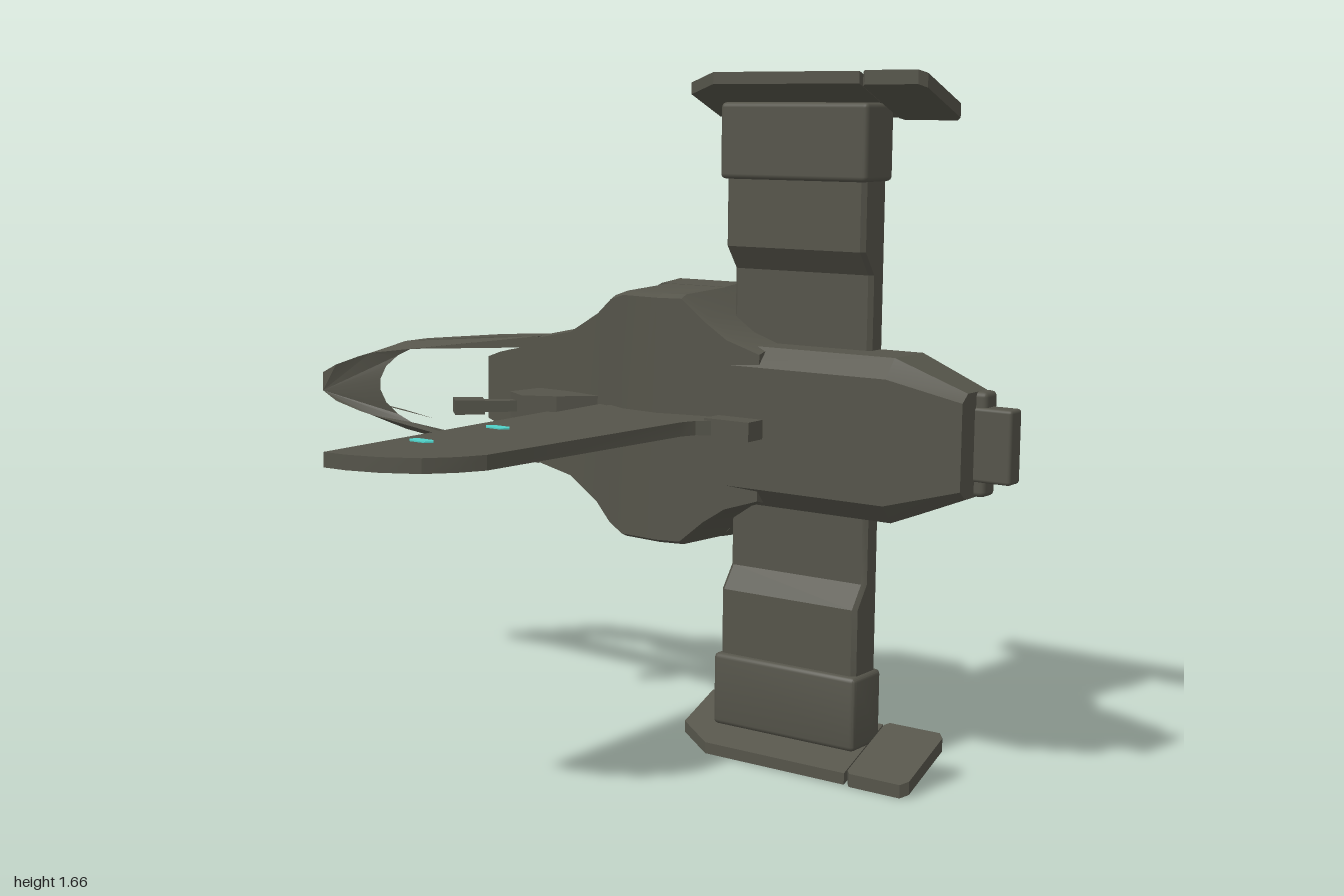
import * as THREE from 'three';
import { toCreasedNormals } from 'three/addons/utils/BufferGeometryUtils.js';
import { RoundedBoxGeometry } from 'three/addons/geometries/RoundedBoxGeometry.js';

const CY = 0.83; // height of the ship's centre line

// Turns triangles outward (also after mirroring) and gives them creased normals
function solid(source, crease = 0.5) {
  const geo = source.index ? source.toNonIndexed() : source;
  const p = geo.attributes.position;
  const a = new THREE.Vector3(), b = new THREE.Vector3(), c = new THREE.Vector3();
  let volume = 0;
  for (let i = 0; i < p.count; i += 3) {
    a.fromBufferAttribute(p, i); b.fromBufferAttribute(p, i + 1); c.fromBufferAttribute(p, i + 2);
    volume += a.dot(b.cross(c));
  }
  if (volume < 0) {
    for (let i = 0; i < p.count; i += 3) {
      b.fromBufferAttribute(p, i + 1); c.fromBufferAttribute(p, i + 2);
      p.setXYZ(i + 1, c.x, c.y, c.z); p.setXYZ(i + 2, b.x, b.y, b.z);
    }
  }
  const out = new THREE.BufferGeometry();
  out.setAttribute('position', p);
  return toCreasedNormals(out, crease);
}

// Closed skin through loops of [x, y, z] points
function loft(loops, crease) {
  const v = [], n = loops[0].length;
  for (let s = 0; s < loops.length - 1; s++) {
    for (let i = 0; i < n; i++) {
      const j = (i + 1) % n, A = loops[s], B = loops[s + 1];
      v.push(...A[i], ...B[i], ...B[j], ...A[i], ...B[j], ...A[j]);
    }
  }
  const first = loops[0], last = loops[loops.length - 1];
  for (let i = 1; i < n - 1; i++) {
    v.push(...first[0], ...first[i], ...first[i + 1], ...last[0], ...last[i + 1], ...last[i]);
  }
  const geo = new THREE.BufferGeometry();
  geo.setAttribute('position', new THREE.Float32BufferAttribute(v, 3));
  return solid(geo, crease);
}

// Symmetric hull section at x from [half width, z] pairs, front to back
function section(x, half) {
  return [...half.map(([w, z]) => [x, w, z]), ...half.map(([w, z]) => [x, -w, z]).reverse()];
}

// Flat plate drawn in x-z, thick in y, with an optional shear of y over z
function plate(points, y0, y1, shear = 0, pivot = 0) {
  const shape = new THREE.Shape(points.map(([x, z]) => new THREE.Vector2(x, z)));
  const geo = new THREE.ExtrudeGeometry(shape, { depth: y1 - y0, bevelEnabled: false });
  const p = geo.attributes.position;
  for (let i = 0; i < p.count; i++) {
    const z = p.getY(i);
    p.setXYZ(i, p.getX(i), y0 + p.getZ(i) + (z - pivot) * shear, z);
  }
  return solid(geo, 0.3);
}

function box(x0, x1, y0, y1, z0, z1, radius = 0) {
  const size = [x1 - x0, y1 - y0, z1 - z0];
  const geo = radius ? new RoundedBoxGeometry(...size, 2, radius) : new THREE.BoxGeometry(...size);
  return geo.translate((x0 + x1) / 2, (y0 + y1) / 2, (z0 + z1) / 2);
}

// Open nose frame, with its tip bent forward
function noseFrame() {
  const outer = [[-1, 0.025], [-0.95, 0.05], [-0.89, 0.075], [-0.86, 0.085], [-0.77, 0.12], [-0.5, 0.15], [-0.31, 0.165]];
  const inner = [[-0.835, 0.015], [-0.82, 0.05], [-0.79, 0.08], [-0.75, 0.1], [-0.325, 0.135]];
  const ring = (pts) => [...pts, ...pts.map(([x, y]) => [x, -y]).reverse()].map(([x, y]) => new THREE.Vector2(x, y));
  const shape = new THREE.Shape(ring(outer));
  shape.holes.push(new THREE.Path(ring(inner)));
  const geo = new THREE.ExtrudeGeometry(shape, { depth: 1, bevelEnabled: false });
  const p = geo.attributes.position;
  for (let i = 0; i < p.count; i++) {
    const x = p.getX(i);
    const front = Math.min(-0.295, -0.38 + Math.max(0, -0.77 - x) * 0.47);
    let back = -0.47;
    if (x < -0.86) back += Math.min(1, (-0.86 - x) / 0.03) * 0.08;
    if (x < -0.89) back += (-0.89 - x) * 0.8;
    p.setZ(i, p.getZ(i) > 0.5 ? front : back);
  }
  return solid(geo, 0.3);
}

export function createModel() {
  const model = new THREE.Group();
  const hullPaint = new THREE.MeshStandardMaterial({ color: 0x55544a });
  const lightPaint = new THREE.MeshStandardMaterial({ color: 0x4fd0c8 });
  const ship = new THREE.Group();
  ship.name = 'ship';
  ship.position.y = CY;
  model.add(ship);
  const add = (name, geo, mat = hullPaint) => {
    const mesh = new THREE.Mesh(geo, mat);
    mesh.name = name;
    ship.add(mesh);
  };
  const addPair = (name, geo, mat) => {
    add(name + 'Upper', geo, mat);
    add(name + 'Lower', solid(geo.clone().scale(1, -1, 1)), mat);
  };

  add('noseFrame', noseFrame());

  // Rounded back shell: x, half width, shoulder z, shoulder half width, back z
  const shell = [
    [-0.57, 0.085, -0.51, 0.07, -0.53], [-0.53, 0.1, -0.52, 0.085, -0.555],
    [-0.4, 0.13, -0.535, 0.1, -0.588], [-0.25, 0.165, -0.55, 0.115, -0.602],
    [-0.15, 0.22, -0.56, 0.13, -0.608], [-0.08, 0.27, -0.565, 0.145, -0.61],
    [0, 0.318, -0.57, 0.16, -0.612], [0.19, 0.318, -0.57, 0.17, -0.615],
    [0.27, 0.24, -0.575, 0.16, -0.615], [0.38, 0.185, -0.59, 0.15, -0.615],
    [0.5, 0.165, -0.6, 0.14, -0.615], [0.65, 0.165, -0.6, 0.14, -0.615], [0.7, 0.13, -0.59, 0.11, -0.605],
  ];
  add('backShell', loft(shell.map(([x, w, zs, w2, zb]) =>
    section(x, [[w * 0.98, -0.49], [w, zs], [(w + w2) / 2, zs * 0.4 + zb * 0.6], [w2 * 0.8, zb]])), 0.6));

  // Flared front hull: x, half width, front z
  const hull = [
    [-0.325, 0.163, -0.38], [-0.2, 0.19, -0.375], [-0.1, 0.245, -0.355], [-0.04, 0.288, -0.33],
    [0.02, 0.305, -0.3], [0.13, 0.305, -0.29], [0.19, 0.305, -0.305], [0.25, 0.25, -0.318],
    [0.31, 0.21, -0.32], [0.4, 0.18, -0.325],
  ];
  add('frontHull', loft(hull.map(([x, w, z]) =>
    section(x, [[w * 0.97, z], [w, z - 0.02], [w * 1.02, -0.5]])), 0.4));

  // Tail block, collar and nozzle
  add('tailBlock', loft([
    section(0.25, [[0.145, -0.32], [0.19, -0.36], [0.19, -0.49], [0.17, -0.505]]),
    section(0.74, [[0.145, -0.32], [0.19, -0.36], [0.19, -0.49], [0.17, -0.505]]),
    section(0.91, [[0.1, -0.365], [0.12, -0.39], [0.12, -0.48], [0.1, -0.485]]),
  ], 0.2));
  add('tailCollar', box(0.8, 0.935, -0.12, 0.12, -0.487, -0.43, 0.012));
  add('nozzle', box(0.9, 1, -0.085, 0.085, -0.477, -0.425, 0.008));

  // Spine along the back with a rounded end
  add('spine', loft([
    section(-0.06, [[0.045, -0.59], [0.04, -0.61]]),
    section(0.08, [[0.095, -0.59], [0.085, -0.632]]),
    section(0.65, [[0.095, -0.59], [0.085, -0.632]]),
  ], 0.2));
  add('spineEnd', box(0.62, 0.715, -0.1, 0.1, -0.618, -0.5, 0.03));

  // Wings: distance from centre line, front z, back z
  const wing = [[0.1, -0.44, -0.5], [0.365, -0.44, -0.5], [0.42, -0.4, -0.5], [0.6, -0.4, -0.5]];
  addPair('wing', loft(wing.map(([y, zf, zb]) => [
    [0.25, y, zf - 0.01], [0.26, y, zf], [0.62, y, zf], [0.63, y, zf - 0.01],
    [0.63, y, zb + 0.01], [0.62, y, zb], [0.26, y, zb], [0.25, y, zb + 0.01]]), 0.2));
  addPair('wingSleeve', box(0.24, 0.64, 0.58, 0.76, -0.51, -0.385, 0.012));

  // Canted plates at the wing ends
  addPair('endPlate', plate([[0.14, -0.535], [0.635, -0.535], [0.635, -0.355], [0.24, -0.355], [0.14, -0.41]],
    0.8, 0.828, 0.43, -0.36));
  addPair('endPlateTail', plate([[0.64, -0.53], [0.65, -0.54], [0.785, -0.54], [0.8, -0.525], [0.8, -0.37],
    [0.785, -0.353], [0.65, -0.353], [0.64, -0.363]], 0.797, 0.829, 0.43, -0.36));

  // Long thin fin with its root fairing
  add('fin', plate([[-0.09, -0.14], [-0.09, 0.63], [-0.03, 0.627], [0.05, 0.605], [0.13, 0.56], [0.18, 0.5],
    [0.21, 0.44], [0.265, -0.2], [0.28, -0.24], [0.31, -0.26], [0.31, -0.35], [-0.04, -0.4], [-0.04, -0.15]],
    -0.017, 0.017));
  add('finRoot', box(-0.085, -0.035, -0.013, 0.013, -0.4, -0.13));
  add('finSpur', box(0.29, 0.415, -0.023, 0.023, -0.33, -0.26));

  // Gun on a wedge mount
  add('gunMount', plate([[-0.3, -0.4], [-0.32, -0.28], [-0.25, -0.24], [-0.17, -0.28], [-0.09, -0.36], [-0.09, -0.4]],
    -0.032, 0.032));
  const along = (t, o) => [-0.27 - 0.135 * t + 0.72 * o, -0.29 + 0.13 * t + 0.7 * o];
  const bar = (t0, t1, r) => [along(t0, -r), along(t1, -r), along(t1, r), along(t0, r)];
  add('gunBarrel', plate(bar(0, 0.8, 0.017), -0.014, 0.014));
  add('gunMuzzle', plate(bar(0.6, 1, 0.032), -0.018, 0.018));

  // Lights on the fin, the shell sides and the shell back
  for (const z of [0.135, 0.39]) {
    const x = z < 0.2 ? -0.015 : -0.022;
    addPair('finLight', plate([[x - 0.035, z], [x - 0.022, z - 0.016], [x + 0.022, z - 0.016], [x + 0.035, z],
      [x + 0.022, z + 0.016], [x - 0.022, z + 0.016]], 0.014, 0.02), lightPaint);
  }
  for (const x of [0.522, 0.577]) {
    addPair('shellLight', plate([[x - 0.02, -0.585], [x - 0.01, -0.6], [x + 0.01, -0.6], [x + 0.02, -0.585],
      [x + 0.02, -0.555], [x + 0.01, -0.54], [x - 0.01, -0.54], [x - 0.02, -0.555]], 0.162, 0.17), lightPaint);
  }
  addPair('backLight', box(-0.23, -0.216, 0.05, 0.06, -0.61, -0.602), lightPaint);

  return model;
}
